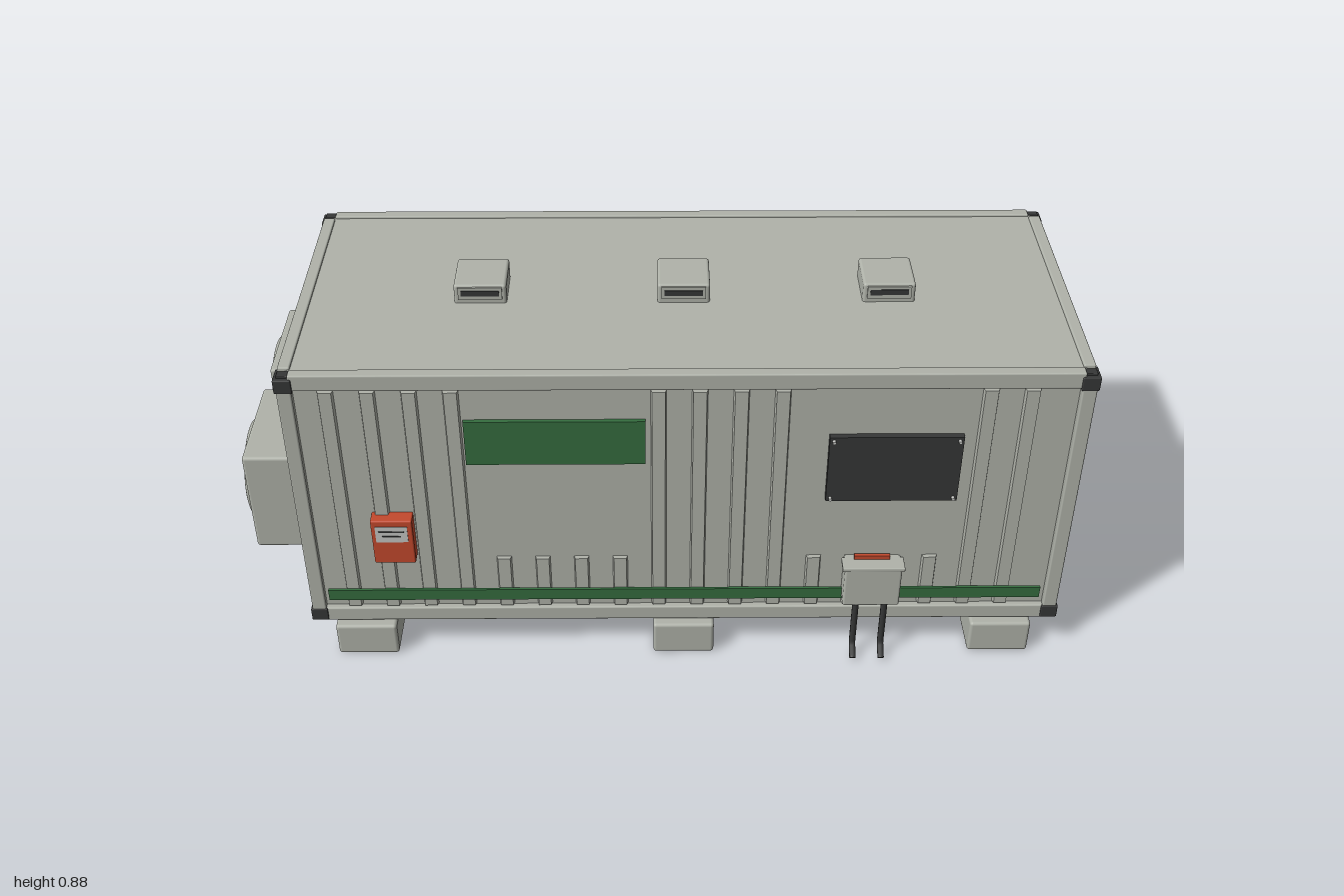
import * as THREE from 'three';
import { RoundedBoxGeometry } from 'three/addons/geometries/RoundedBoxGeometry.js';

const mat = (name, color) => {
  const m = new THREE.MeshStandardMaterial({ color });
  m.name = name;
  return m;
};

export function createModel() {
  const root = new THREE.Group();
  root.name = 'equipmentContainer';
  const grey = mat('paintedGrey', 0xb0b3aa);
  const dark = mat('darkSteel', 0x363737);
  const green = mat('green', 0x356d3f);
  const orange = mat('orangeRed', 0xc4492d);
  const label = mat('labelGrey', 0xc6c7c4);

  const add = (name, geo, m, parent = root) => {
    const mesh = new THREE.Mesh(geo, m);
    mesh.name = name;
    parent.add(mesh);
    return mesh;
  };
  // Box from its limits on each axis; r rounds the edges
  const box = (name, m, [x0, x1], [y0, y1], [z0, z1], r = 0, parent = root) => {
    const s = [x1 - x0, y1 - y0, z1 - z0];
    const g = r ? new RoundedBoxGeometry(...s, 2, r) : new THREE.BoxGeometry(...s);
    const mesh = add(name, g, m, parent);
    mesh.position.set((x0 + x1) / 2, (y0 + y1) / 2, (z0 + z1) / 2);
    return mesh;
  };
  const cyl = (name, m, r, len, axis, pos, parent = root, sides = 16) => {
    const mesh = add(name, new THREE.CylinderGeometry(r, r, len, sides), m, parent);
    if (axis === 'x') mesh.rotation.z = Math.PI / 2;
    if (axis === 'z') mesh.rotation.x = Math.PI / 2;
    mesh.position.set(...pos);
    return mesh;
  };

  const X0 = -0.865, X1 = 0.971, Z0 = -0.393, Z1 = 0.353;

  // Shell: walls, roof and floor
  box('walls', grey, [X0 + 0.012, X1 - 0.014], [0.112, 0.815], [Z0 + 0.018, Z1 - 0.018]);
  box('roof', grey, [X0 + 0.025, X1 - 0.025], [0.81, 0.826], [Z0 + 0.025, Z1 - 0.025]);
  box('floor', grey, [X0 + 0.03, X1 - 0.03], [0.1, 0.114], [Z0 + 0.03, Z1 - 0.03]);

  // Frame: rails, posts and corner castings
  const frame = new THREE.Group();
  frame.name = 'frame';
  root.add(frame);
  for (const [y0, y1] of [[0.095, 0.135], [0.79, 0.832]]) {
    for (const z of [Z0 + 0.003, Z1 - 0.031])
      box('sideRail', grey, [X0 + 0.03, X1 - 0.03], [y0, y1], [z, z + 0.028], 0.004, frame);
    for (const x of [X0 + 0.003, X1 - 0.031])
      box('endRail', grey, [x, x + 0.028], [y0, y1], [Z0 + 0.036, Z1 - 0.036], 0.004, frame);
  }
  for (const x of [X0, X1 - 0.036])
    for (const z of [Z0, Z1 - 0.036]) {
      box('cornerPost', grey, [x + 0.001, x + 0.035], [0.098, 0.822], [z + 0.001, z + 0.035], 0.004, frame);
      const zi = z === Z0 ? [Z0 - 0.001, Z0 + 0.047] : [Z1 - 0.047, Z1 + 0.001];
      const xi = x === X0 ? [X0 - 0.003, X0 + 0.038] : [X1 - 0.038, X1 + 0.003];
      // The castings wrap the post, with a narrower cap at the very top
      for (const y of [0.099, 0.786]) box('cornerCasting', dark, xi, [y, y + 0.036], zi, 0.003, frame);
      box('castingCap', dark, [x + 0.004, x + 0.032], [0.818, 0.827], [z + 0.004, z + 0.026], 0.002, frame);
    }

  // Corrugation ribs: trapezoid section drawn upright
  const rib = (x, y0, y1, back) => {
    const s = new THREE.Shape([[-0.018, 0], [0.018, 0], [0.015, 0.011], [-0.015, 0.011]]
      .map(([a, b]) => new THREE.Vector2(a, -b)).reverse());
    const g = new THREE.ExtrudeGeometry(s, { depth: y1 - y0, bevelEnabled: false });
    g.rotateX(-Math.PI / 2);
    const mesh = add('wallRib', g, grey);
    if (back) mesh.rotation.y = Math.PI;
    mesh.position.set(x, y0, back ? Z0 + 0.018 : Z1 - 0.018);
  };
  for (let i = 0; i < 18; i++) {
    const x = -0.758 + i * 0.0934;
    const short = (i >= 4 && i <= 7) || (i >= 12 && i <= 15);
    rib(x, 0.14, short ? 0.29 : 0.782, false);
    rib(x, 0.14, 0.782, true);
  }

  // Green stripes and front panels
  box('frontStripe', green, [-0.818, 0.922], [0.165, 0.197], [Z1 - 0.007, Z1]);
  box('backStripe', green, [-0.818, 0.922], [0.165, 0.197], [Z0, Z0 + 0.007]);
  box('greenSign', green, [-0.455, -0.041], [0.578, 0.7], [Z1 - 0.019, Z1 - 0.008]);
  box('blackPanel', dark, [0.38, 0.688], [0.47, 0.656], [Z1 - 0.019, Z1 - 0.003]);
  for (const x of [0.39, 0.678])
    for (const y of [0.48, 0.646]) cyl('panelScrew', label, 0.004, 0.012, 'z', [x, y, Z1], root, 10);

  // Alarm box with label
  box('alarmBox', orange, [-0.69, -0.592], [0.3, 0.43], [Z1 - 0.02, 0.371], 0.004);
  box('alarmLabel', label, [-0.68, -0.604], [0.368, 0.414], [0.37, 0.373]);
  box('labelLine', dark, [-0.672, -0.612], [0.398, 0.402], [0.372, 0.3745]);
  box('labelLine', dark, [-0.664, -0.62], [0.384, 0.388], [0.372, 0.3745]);

  // Cable junction box, with a marker plate on the wall behind its lid
  box('junctionBox', grey, [0.436, 0.574], [0.167, 0.29], [Z1 - 0.02, 0.384], 0.006);
  box('junctionLid', grey, [0.43, 0.58], [0.278, 0.29], [Z1 - 0.01, 0.387], 0.003);
  box('junctionMarker', orange, [0.46, 0.546], [0.285, 0.301], [Z1 - 0.009, Z1]);
  for (const x of [0.47, 0.54]) {
    const path = new THREE.CurvePath();
    const p = [[0.18, 0.372], [0.045, 0.372], [0.03, 0.378], [0.01, 0.404]]
      .map(([y, z]) => new THREE.Vector3(x, y, z));
    path.add(new THREE.LineCurve3(p[0], p[1]));
    path.add(new THREE.QuadraticBezierCurve3(p[1], new THREE.Vector3(x, 0.036, 0.372), p[2]));
    path.add(new THREE.LineCurve3(p[2], p[3]));
    add('cable', new THREE.TubeGeometry(path, 30, 0.008, 10), dark);
    cyl('cableEnd', dark, 0.008, 0.004, 'y', [x, 0.0115, 0.402]).rotation.x = -0.91;
  }

  // End doors with fine edge seams
  for (const [z0, z1] of [[-0.008, 0.318], [-0.357, -0.026]]) {
    box('door', grey, [X1 - 0.02, X1 - 0.008], [0.136, 0.784], [z0, z1], 0.003);
    const seam = (y, z) => box('doorSeam', dark, [X1 - 0.01, X1 - 0.0075], y, z);
    for (const y of [0.148, 0.772]) seam([y, y + 0.0015], [z0 + 0.005, z1 - 0.005]);
    for (const z of [z0 + 0.005, z1 - 0.0065]) seam([0.148, 0.773], [z, z + 0.0015]);
  }
  // Locking bars in front of their clamps, with flat handles
  for (const z of [0.234, 0.077, -0.115, -0.273]) {
    cyl('lockBar', grey, 0.007, 0.644, 'y', [X1 + 0.008, 0.46, z]);
    box('lockHandle', dark, [X1 + 0.008, 0.998], [0.36, 0.456], [z - 0.007, z + 0.007], 0.002);
    for (const y of [0.156, 0.741])
      box('barClamp', dark, [X1 - 0.01, X1 + 0.011], [y, y + 0.023], [z - 0.013, z + 0.013], 0.003);
  }
  // Door vent
  box('ventPlate', grey, [X1 - 0.01, X1 - 0.006], [0.592, 0.648], [-0.238, -0.15]);
  [[0.635, 0.033], [0.62, 0.026], [0.604, 0.033]].forEach(([y, h]) =>
    box('ventSlot', dark, [X1 - 0.008, X1 - 0.004], [y - 0.003, y + 0.003], [-0.186 - h, -0.186 + h]));
  for (const y of [0.595, 0.645])
    for (const z of [-0.235, -0.153]) cyl('ventScrew', grey, 0.0025, 0.005, 'x', [X1 - 0.006, y, z], root, 8);

  // Roof vents with a dark slot to the front
  for (const x of [-0.43, 0.05, 0.535]) {
    box('roofVent', grey, [x - 0.062, x + 0.062], [0.82, 0.875], [-0.083, 0.042], 0.007);
    box('roofVentFrame', grey, [x - 0.052, x + 0.052], [0.838, 0.87], [0.035, 0.046]);
    box('roofVentSlot', dark, [x - 0.045, x + 0.045], [0.848, 0.862], [0.04, 0.048]);
  }

  // Cooling units on the -x end, each with a round slatted grille
  for (const z of [-0.21, 0.153]) {
    const unit = new THREE.Group();
    unit.name = 'coolingUnit';
    root.add(unit);
    box('unitBody', grey, [-0.987, X0 + 0.014], [0.29, 0.56], [z - 0.142, z + 0.142], 0.008, unit);
    box('unitBracket', dark, [-0.965, -0.875], [0.276, 0.292], [z - 0.12, z + 0.12], 0, unit);
    cyl('fanOpening', dark, 0.11, 0.006, 'x', [-0.987, 0.425, z], unit, 40);
    const ring = add('grilleRing', new THREE.TorusGeometry(0.113, 0.007, 8, 40), grey, unit);
    ring.rotation.y = Math.PI / 2;
    ring.position.set(-0.992, 0.425, z);
    for (let i = -3; i <= 3; i++) {
      const dy = i * 0.029, h = Math.sqrt(0.109 ** 2 - dy * dy);
      box('grilleSlat', grey, [-0.996, -0.988], [0.42 + dy, 0.43 + dy], [z - h, z + h], 0, unit);
    }
  }

  // Support blocks beneath
  for (const x of [-0.735, 0.05, 0.835])
    box('supportBlock', grey, [x - 0.075, x + 0.075], [0, 0.092], [-0.41, 0.37], 0.008);

  return root;
}
